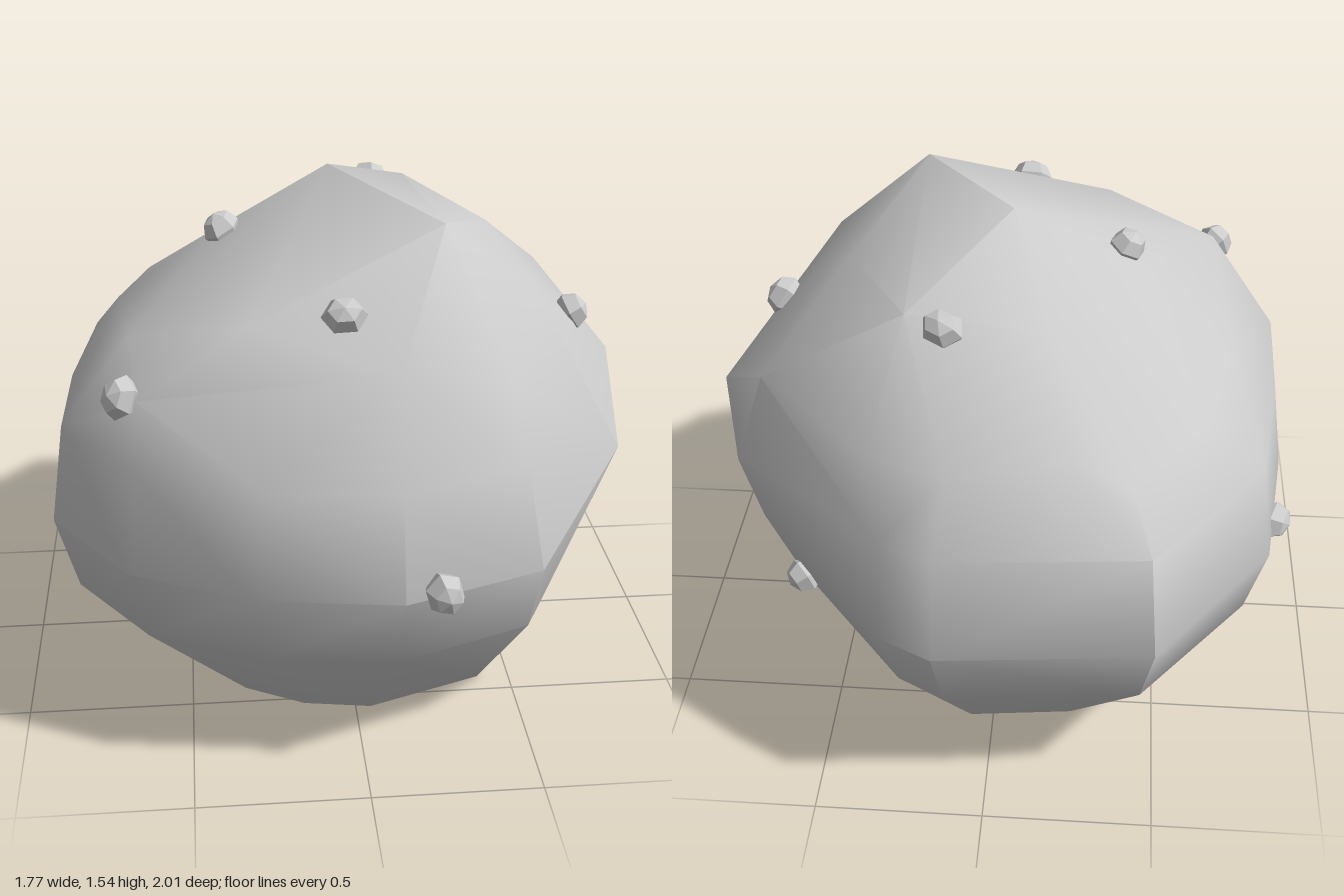
import * as THREE from 'three';
import { toCreasedNormals } from 'three/addons/utils/BufferGeometryUtils.js';
import { ConvexGeometry } from 'three/addons/geometries/ConvexGeometry.js';

const material = new THREE.MeshStandardMaterial({ color: 0xcccccc });
const pebbleMaterial = new THREE.MeshStandardMaterial({ color: 0xcccccc, flatShading: true });

// Widest outline of the boulder as [x, z], running from the front towards +x
const outline = [
  [0.1, 0.98], [0.5, 0.82], [0.83, 0.33], [0.88, -0.08], [0.78, -0.4], [0.44, -0.76], [0.32, -0.92],
  [0.15, -1], [-0.48, -0.94], [-0.82, -0.48], [-0.88, 0], [-0.89, 0.41], [-0.66, 0.75], [-0.31, 0.92],
];

// Lower cross-sections: height, reach towards -x, +x, -z, +z, then the front left ridge [x, z]
const sections = [
  [0.01, 0.45, 0.41, 0.59, 0.56, 0.4, 0.43],
  [0.38, 0.83, 0.71, 0.89, 0.88, 0.49, 0.72],
  [0.63, 0.89, 0.81, 1.0, 0.98, 0.5, 0.83],
  [0.92, 0.85, 0.8, 0.93, 0.9, 0.46, 0.75],
];

// Corners of the crown
const crown = [
  // summit
  [-0.03, 1.555, -0.09], [0.27, 1.5, 0.36], [0.25, 1.41, -0.46], [-0.38, 1.37, -0.05], [-0.15, 1.36, -0.45],
  // left shoulder
  [0.43, 1.13, 0.66], [0.56, 1.26, 0.34], [0.56, 1.27, 0.1], [0.46, 1.37, -0.07], [0.69, 1.13, -0.38],
  // left side
  [0.83, 0.76, 0.33], [0.88, 0.92, -0.08], [0.78, 0.84, -0.4],
  // front shoulder
  [0.1, 1.21, 0.76], [-0.3, 1.29, 0.57], [-0.64, 1.21, 0.42], [-0.62, 1.1, 0.62],
  // right and back shoulders
  [-0.69, 1.13, -0.12], [-0.6, 1.1, -0.48], [-0.4, 1.06, -0.76], [-0.23, 1.14, -0.74],
  [0.11, 1.11, -0.81], [0.34, 1.1, -0.7],
];

function boulderGeometry() {
  const points = crown.map((p) => new THREE.Vector3(...p));
  for (const [y, left, right, back, front, ridgeX, ridgeZ] of sections) {
    outline.forEach(([px, pz], i) => {
      const x = px > 0 ? (px * right) / 0.88 : (px * left) / 0.89;
      const z = pz > 0 ? (pz * front) / 0.98 : pz * back;
      points.push(i === 1 ? new THREE.Vector3(ridgeX, y, ridgeZ) : new THREE.Vector3(x, y, z));
    });
  }
  return toCreasedNormals(new ConvexGeometry(points), 0.7);
}

// Small faceted pebbles stuck on the surface
const pebbleSpots = [
  [-0.04, 1.32, 0.59], [-0.36, 1.39, 0.01], [0.14, 1.39, -0.49], [-0.66, 1.1, 0.59],
  [0.2, 0.65, 0.96], [0.71, 1.12, 0.1], [-0.84, 0.64, -0.32], [0.6, 0.44, -0.45],
];

export function createModel() {
  const group = new THREE.Group();
  group.name = 'boulder';

  const body = new THREE.Mesh(boulderGeometry(), material);
  body.name = 'boulderBody';
  group.add(body);

  const pebbleGeometry = new THREE.SphereGeometry(0.06, 6, 4);
  const up = new THREE.Vector3(0, 1, 0);
  const centre = new THREE.Vector3(0, 0.7, 0);
  pebbleSpots.forEach((spot, i) => {
    const pebble = new THREE.Mesh(pebbleGeometry, pebbleMaterial);
    pebble.name = 'pebble' + (i + 1);
    pebble.position.set(...spot);
    pebble.quaternion.setFromUnitVectors(up, pebble.position.clone().sub(centre).normalize());
    pebble.rotateY(i * 1.3);
    pebble.scale.set(1.1, 0.9, 0.95);
    group.add(pebble);
  });
  return group;
}
